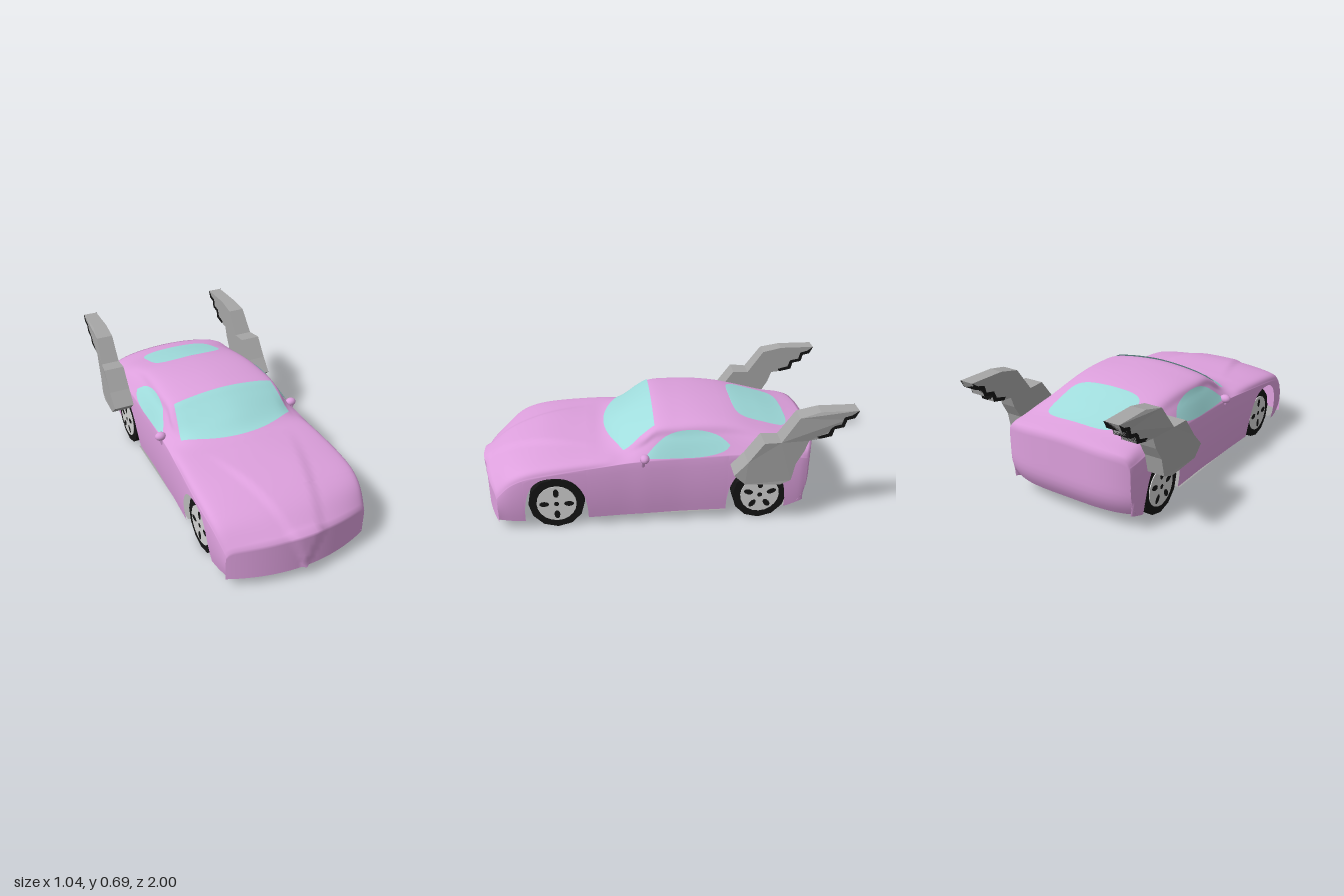
import * as THREE from 'three';

const mat = (name, color, side = THREE.FrontSide, flatShading = false) =>
  Object.assign(new THREE.MeshStandardMaterial({ color, side, flatShading }), { name });
const clamp01 = v => Math.min(1, Math.max(0, v));
const lerp = THREE.MathUtils.lerp;

// Smooth interpolation of table rows, first column being the position
function sample(rows, p) {
  let i = 0;
  while (i < rows.length - 2 && p > rows[i + 1][0]) i++;
  const a = rows[i], b = rows[i + 1], h = b[0] - a[0], t = clamp01((p - a[0]) / h);
  const before = rows[Math.max(0, i - 1)], after = rows[Math.min(rows.length - 1, i + 2)];
  return a.map((v, k) => {
    const m0 = (b[k] - before[k]) / (b[0] - before[0]) * h;
    const m1 = (after[k] - v) / (after[0] - a[0]) * h;
    const t2 = t * t, t3 = t2 * t;
    return (2 * t3 - 3 * t2 + 1) * v + (t3 - 2 * t2 + t) * m0 + (3 * t2 - 2 * t3) * b[k] + (t3 - t2) * m1;
  });
}

// Smooth surface through rows of points
function grid(rows) {
  const n = rows[0].length, index = [];
  for (let i = 0; i < rows.length - 1; i++)
    for (let j = 0; j < n - 1; j++) {
      const a = i * n + j, b = a + n;
      index.push(a, a + 1, b, b, a + 1, b + 1);
    }
  const g = new THREE.BufferGeometry();
  g.setAttribute('position', new THREE.Float32BufferAttribute(rows.flat(2), 3));
  g.setIndex(index);
  g.computeVertexNormals();
  return g;
}
const steps = (n, f) => Array.from({ length: n + 1 }, (_, i) => f(i / n));

// Body stations: z, shoulder x y, cabin side x y, roof edge x y, top centre y
const STATIONS = [
  [-0.845, 0.385, 0.36, 0.35, 0.41, 0.2, 0.435, 0.447],
  [-0.8, 0.395, 0.37, 0.355, 0.42, 0.2, 0.447, 0.457],
  [-0.7, 0.4, 0.385, 0.35, 0.435, 0.22, 0.465, 0.48],
  [-0.55, 0.4, 0.4, 0.345, 0.465, 0.25, 0.505, 0.526],
  [-0.4, 0.4, 0.405, 0.335, 0.49, 0.26, 0.545, 0.567],
  [-0.25, 0.4, 0.4, 0.34, 0.5, 0.27, 0.565, 0.588],
  [-0.1, 0.4, 0.395, 0.345, 0.5, 0.28, 0.567, 0.595],
  [0.03, 0.405, 0.395, 0.345, 0.495, 0.285, 0.557, 0.588],
  [0.1, 0.408, 0.395, 0.355, 0.455, 0.295, 0.515, 0.553],
  [0.2, 0.41, 0.39, 0.36, 0.415, 0.25, 0.462, 0.497],
  [0.3, 0.415, 0.38, 0.37, 0.41, 0.2, 0.43, 0.44],
  [0.4, 0.42, 0.37, 0.38, 0.405, 0.2, 0.424, 0.432],
  [0.6, 0.43, 0.35, 0.39, 0.39, 0.2, 0.413, 0.418],
  [0.75, 0.43, 0.325, 0.39, 0.365, 0.2, 0.385, 0.39],
  [0.87, 0.42, 0.28, 0.38, 0.32, 0.2, 0.34, 0.345],
  [0.985, 0.4, 0.2, 0.36, 0.235, 0.2, 0.255, 0.265],
];
const ARCHES = [{ c: 0.59, h: 0.18 }, { c: -0.52, h: 0.17 }];

// Lower edge of the side, rising over the wheels
function bottomY(z) {
  for (const { c, h } of ARCHES) {
    const u = Math.abs(z - c) / h;
    if (u < 1) return 0.055 + 0.275 * Math.pow(1 - Math.pow(u, 2.5), 0.4);
  }
  return z < -0.68 ? 0.05 + (-0.68 - z) * 0.3 : 0.055;
}
const bowFront = x => 0.05 * (x / 0.3) ** 2;
const bowRear = x => 0.045 * (x / 0.37) ** 4;

// Upper curve from shoulder over the roof to the other shoulder
function upperCurve(z) {
  const [, ws, ys, wc, yc, wt, yt, top] = sample(STATIONS, z);
  const half = [[ws, ys], [wc, yc], [wt, yt]];
  const all = [...half, [0, top], ...half.map(([x, y]) => [-x, y]).reverse()];
  return new THREE.SplineCurve(all.map(([x, y]) => new THREE.Vector2(x, y)));
}
// Point of the upper curve where x (falling) or y (rising) has a given value
function onUpper(z, axis, value) {
  const curve = upperCurve(z);
  let lo = 0, hi = 0.5, p;
  for (let i = 0; i < 26; i++) {
    const mid = (lo + hi) / 2;
    p = curve.getPoint(mid);
    if (axis === 'x' ? p.x > value : p.y < value) lo = mid; else hi = mid;
  }
  return p;
}

// Outline of one body station
function section(z) {
  const curve = upperCurve(z), p0 = curve.getPoint(0), yb = bottomY(z);
  const side = steps(7, t => {
    const y = lerp(yb, p0.y, t), v = clamp01((y - 0.055) / (p0.y - 0.055));
    return [p0.x - 0.02 * (1 - v) ** 2 + 0.018 * v * (1 - v), y];
  });
  const pts = [...side, ...steps(56, t => curve.getPoint(t).toArray()).slice(1, -1),
    ...side.map(([x, y]) => [-x, y]).reverse()];
  const front = clamp01((z - 0.6) / 0.385) ** 2, rear = clamp01((-0.55 - z) / 0.295) ** 2;
  return pts.map(([x, y]) => {
    const vee = 0.1 + (0.985 - z) * 0.28;
    const ridge = 0.012 * clamp01((z - 0.35) / 0.3) * THREE.MathUtils.smoothstep(vee - Math.abs(x), 0, 0.04);
    return [x, y + ridge, z - front * bowFront(x) + rear * bowRear(x)];
  });
}
function bodyGeometry() {
  const arch = ({ c, h }) => steps(26, t => c - h * Math.cos(t * Math.PI)).slice(1, -1);
  const zs = [...steps(8, t => lerp(-0.845, -0.69, t)), ...arch(ARCHES[1]),
    ...steps(30, t => lerp(-0.35, 0.41, t)), ...arch(ARCHES[0]), ...steps(10, t => lerp(0.77, 0.985, t))];
  const rows = zs.map(section);
  // Tail and nose faces drop from the end stations to the lower edge
  const tail = steps(10, t => rows[0].map(([x, y, z]) => {
    const yy = lerp(y, 0.09, t);
    return [x, yy, z + 0.045 * clamp01((0.22 - yy) / 0.13) ** 2];
  })).reverse();
  const nose = steps(10, t => rows.at(-1).map(([x, y, z]) => {
    const yy = lerp(y, 0.055, t), vee = Math.max(0.002, 0.11 * (yy - 0.05) / 0.2);
    return [x, yy, z + 0.015 * THREE.MathUtils.smoothstep(1 - Math.abs(x) / vee, 0, 0.6)];
  }));
  return grid([...tail, ...rows.slice(1, -1), ...nose]);
}

// Floor pan between two edges that may curve across the car
const floorPan = (w, z0, z1, y0, y1) => grid(steps(6, t => steps(16, s => {
  const x = w * (2 * s - 1);
  return [x, lerp(y0(x), y1, t), lerp(z0, z1(x), t)];
})));

// Feathered fin, drawn as (-z, y)
const NOTCHES = [[1, 0.69], [0.98, 0.65], [0.94, 0.64], [0.93, 0.6], [0.88, 0.59], [0.87, 0.55], [0.8, 0.535]];
const FIN = [[0.36, 0.355], [0.43, 0.43], [0.51, 0.54], [0.6, 0.535], [0.69, 0.665], [0.8, 0.69], ...NOTCHES,
  [0.75, 0.53], [0.73, 0.47], [0.69, 0.4], [0.67, 0.3], [0.61, 0.28], [0.42, 0.3]];
const TIPS = [...NOTCHES, [0.79, 0.55], [0.85, 0.565], [0.865, 0.605], [0.915, 0.615], [0.925, 0.655], [0.965, 0.665]];
function finGeometry(points, extra) {
  const g = new THREE.ExtrudeGeometry(new THREE.Shape(points.map(p => new THREE.Vector2(...p))),
    { depth: 1, bevelEnabled: false });
  g.rotateY(Math.PI / 2);
  const p = g.attributes.position;
  for (let i = 0; i < p.count; i++) {
    const outer = Math.max(0.48, 0.52 - Math.max(0, -p.getZ(i) - 0.5) * 0.13);
    p.setX(i, p.getX(i) > 0.5 ? outer + extra : 0.4 - extra);
  }
  g.computeVertexNormals();
  return g;
}

export function createModel() {
  const pink = mat('pink paint', 0xdda0dd, THREE.DoubleSide);
  const glass = mat('turquoise glass', 0xa0dddd, THREE.DoubleSide);
  const grey = mat('grey', 0xa6a6a6, THREE.DoubleSide, true);
  const black = mat('black rubber', 0x141414, THREE.FrontSide, true);
  const silver = mat('light grey hub', 0xd0d0d0);
  const model = new THREE.Group();
  const add = (parent, name, geometry, material, x = 0, y = 0, z = 0) => {
    const m = new THREE.Mesh(geometry, material);
    m.name = name;
    m.position.set(x, y, z);
    parent.add(m);
    return m;
  };

  add(model, 'body', bodyGeometry(), pink);
  const flat = () => 0.055;
  add(model, 'middleFloor', floorPan(0.39, -0.35, () => 0.41, flat, 0.055), grey);
  add(model, 'frontFloor', floorPan(0.385, 0.77, x => 0.985 - bowFront(x), flat, 0.055), grey);
  add(model, 'rearFloor', floorPan(0.375, -0.67, x => -0.8 + bowRear(x), x => 0.035 + 0.13 * x * x, 0.09), grey);

  // Windscreen and rear window lie just above the body surface
  const glassPoint = (x, z) => [x, onUpper(z, 'x', Math.abs(x)).y + 0.007, z];
  add(model, 'windscreen', grid(steps(16, b => steps(24, s => {
    const a = 2 * s - 1;
    return glassPoint(a * lerp(0.335, 0.3, b), lerp(0.31 - 0.1 * a * a, 0.04, b));
  }))), glass);
  add(model, 'rearWindow', grid(steps(24, b => steps(16, s => {
    const v = Math.sin((b - 0.5) * Math.PI);
    return glassPoint((2 * s - 1) * 0.22 * Math.pow(Math.max(0, 1 - Math.abs(v) ** 5), 0.25), -0.565 + 0.155 * v);
  }))), glass);

  // Everything that is mirrored
  const side = new THREE.Group();
  side.name = 'leftSide';
  const EDGE = [[0, 0.41, 0.412], [0.12, 0.408, 0.465], [0.25, 0.405, 0.508], [0.42, 0.403, 0.532], [0.65, 0.405, 0.53],
    [0.87, 0.42, 0.5], [0.97, 0.438, 0.468], [1, 0.452, 0.455]];
  add(side, 'sideWindow', grid(steps(28, s => {
    const [, low, high] = sample(EDGE, s), z = 0.1 - 0.46 * s;
    return steps(8, t => {
      const p = onUpper(z, 'y', lerp(low, high, t));
      return [p.x + 0.006, p.y + 0.003, z];
    });
  })), glass);

  add(side, 'wingMirror', new THREE.SphereGeometry(1, 12, 8).scale(0.032, 0.024, 0.026), pink, 0.41, 0.415, 0.1);
  const stem = add(side, 'mirrorStem', new THREE.CylinderGeometry(0.008, 0.014, 0.05, 8), pink, 0.41, 0.392, 0.11);
  stem.rotation.z = -0.5;

  add(side, 'fin', finGeometry(FIN, 0), grey);
  add(side, 'finTips', finGeometry(TIPS, 0.003), black);

  // Wheels with slotted hubs
  for (const [name, z, slots] of [['frontWheel', 0.58, 4], ['rearWheel', -0.535, 5]]) {
    const wheel = new THREE.Group();
    wheel.name = name;
    wheel.position.set(0.325, 0.15, z);
    add(wheel, 'tyre', new THREE.CylinderGeometry(0.152, 0.152, 0.13, 12).rotateZ(-Math.PI / 2), black);
    add(wheel, 'hub', new THREE.CylinderGeometry(0.108, 0.108, 0.006, 20).rotateZ(-Math.PI / 2), silver, 0.067);
    const slot = new THREE.CircleGeometry(1, 10).scale(0.016, 0.027, 1).translate(0, 0.067, 0).rotateY(Math.PI / 2);
    for (let i = 0; i < slots; i++)
      add(wheel, 'hubSlot', slot, black, 0.073).rotation.x = i / slots * Math.PI * 2;
    add(wheel, 'hubCentre', new THREE.CircleGeometry(0.014, 10).rotateY(Math.PI / 2), black, 0.073);
    side.add(wheel);
  }

  const other = side.clone();
  other.name = 'rightSide';
  other.scale.x = -1;
  model.add(side, other);
  return model;
}
